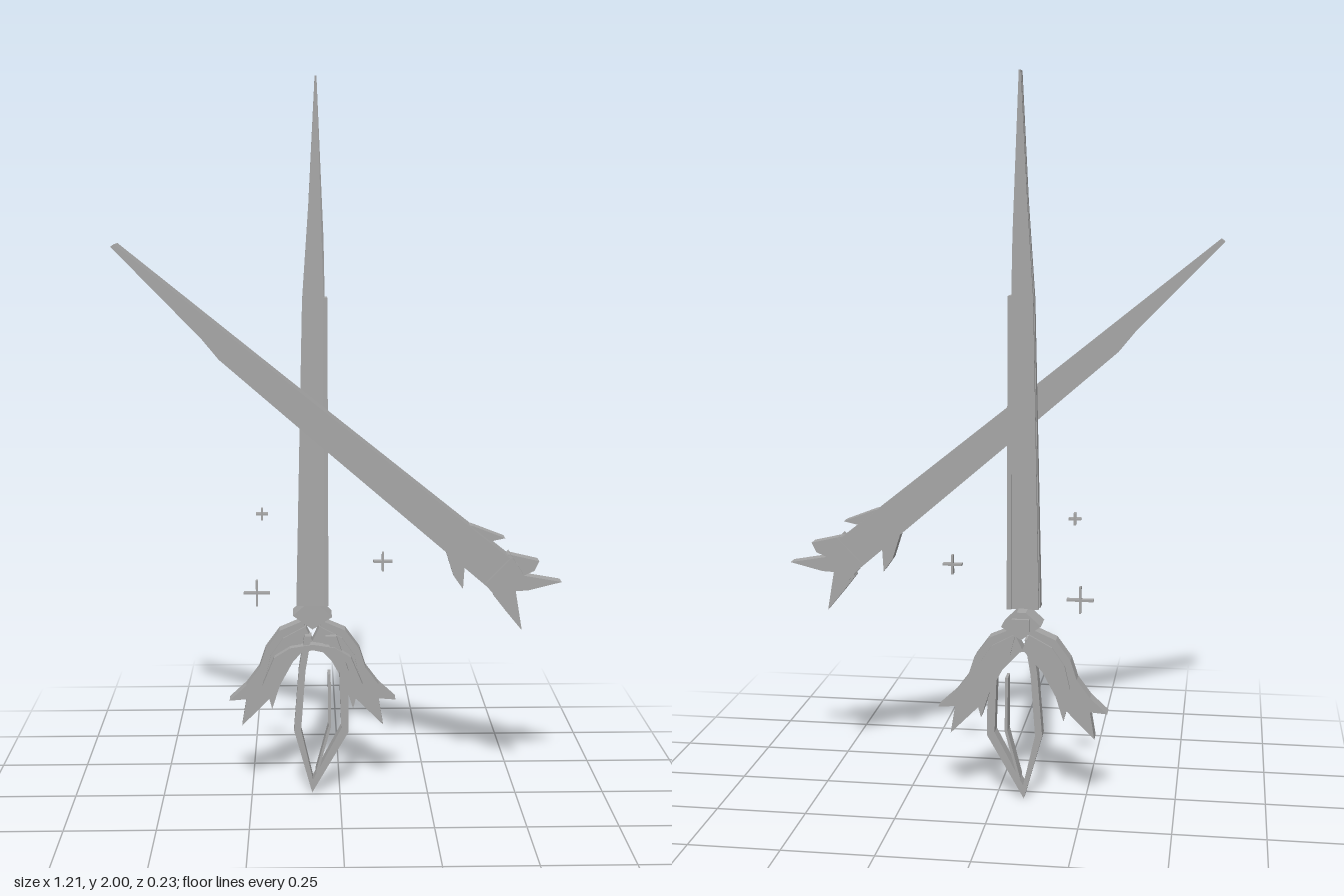
import * as THREE from 'three';

const grey = new THREE.MeshStandardMaterial({ color: 0xa6a6a6 });
grey.name = 'steelGrey';

// Flat outline (x, y pairs in hundredths) extruded from z0 to z1
function plate(name, pts, z0, z1) {
  const shape = new THREE.Shape(pts.map(([x, y]) => new THREE.Vector2(x / 100, y / 100)));
  const geo = new THREE.ExtrudeGeometry(shape, { depth: z1 - z0, bevelEnabled: false });
  geo.translate(0, 0, z0);
  const mesh = new THREE.Mesh(geo, grey);
  mesh.name = name;
  return mesh;
}

// Mirror an outline across the axis of the upright sword
const AXIS = -7.7;
const mirror = (pts) => pts.map(([x, y]) => [2 * AXIS - x, y]).reverse();

function uprightSword() {
  const g = new THREE.Group();
  g.name = 'uprightSword';

  // Front half of the blade, its face leaning back towards the tip
  const front = plate('bladeFront', [
    [-12.2, 55], [-3.4, 55], [-3.6, 113], [-4.4, 157], [-6.2, 200], [-6.7, 200], [-8.5, 166], [-10.3, 140],
  ], -0.045, -0.01);
  const p = front.geometry.attributes.position;
  for (let i = 0; i < p.count; i++) {
    if (p.getZ(i) > -0.03) {
      const t = THREE.MathUtils.clamp((p.getY(i) - 0.55) / 1.02, 0, 1);
      p.setZ(i, -0.008 - 0.019 * t);
    }
  }
  front.geometry.computeVertexNormals();
  g.add(front);

  // Back half, separated by a narrow slot
  g.add(plate('bladeBack', [
    [-12, 55], [-3.6, 55], [-3.8, 113], [-4.6, 157], [-6.2, 200], [-6.7, 200], [-8.5, 166], [-10.2, 140],
  ], -0.066, -0.054));
  g.add(plate('bladeCore', [[-10.5, 56], [-5, 56], [-5.5, 150], [-6.5, 185], [-9, 140]], -0.055, -0.044));
  g.add(plate('edgeRib', [[-4.6, 55], [-3.2, 55], [-3.4, 141], [-4.4, 141]], -0.071, -0.007));

  // Collar where the blade meets the guard
  g.add(plate('collar', [[-13.2, 51.5], [-7.7, 47.5], [-2.2, 51], [-6.5, 55.2], [-9, 55.2]], -0.11, -0.032));
  g.add(plate('collarCap', [[-10, 50], [-5.2, 50], [-5.2, 53.5], [-10, 53.5]], -0.121, -0.108));

  // Feathered wings of the guard
  const wing = [
    [-10.5, 49.8], [-17, 47], [-21, 41.5], [-22.8, 36], [-26.5, 31], [-31.3, 26.6], [-26.5, 27],
    [-27.8, 19.2], [-23.5, 23.5], [-20, 27], [-19.2, 24], [-17, 31], [-13.2, 38], [-7.7, 44],
  ];
  g.add(plate('rightWing', wing, -0.082, -0.037));
  g.add(plate('leftWing', mirror(wing), -0.082, -0.037));

  // Raised layer on each wing
  const feather = [[-9.5, 48.5], [-16, 45], [-19.5, 40], [-21, 33.5], [-16.5, 38.5], [-11, 42.5]];
  g.add(plate('rightFeather', feather, -0.09, -0.03));
  g.add(plate('leftFeather', mirror(feather), -0.09, -0.03));

  // Crescent band on the front of the guard
  const half = [[-7.7, 43.8], [-14, 42.8], [-18.5, 40], [-21.8, 32], [-20.5, 31.8], [-17.6, 38.2], [-13.5, 41], [-7.7, 42.2]];
  const other = mirror(half);
  g.add(plate('rightCrescent', half, -0.04, -0.006));
  g.add(plate('leftCrescent', other, -0.04, -0.006));

  // Open grip: bent strands meeting at the lower point
  g.add(plate('rightGripStrand', [
    [-10, 46], [-11.6, 36], [-13, 18.5], [-7.9, 0], [-7.6, 3.6], [-11, 18.5], [-9.7, 36], [-8, 46],
  ], -0.055, -0.012));
  g.add(plate('leftGripStrand', [
    [-4, 46], [-0.2, 36], [0.4, 19], [-7.9, 3.4], [-7.9, 0], [2.5, 18], [2.4, 36], [-1, 46],
  ], -0.055, -0.012));
  g.add(plate('innerGripStrand', [
    [-3.4, 35], [-2.6, 35], [-2.5, 19.5], [-6.2, 6], [-6.9, 6], [-3.3, 19.5],
  ], -0.058, -0.012));
  return g;
}

function crossedSword() {
  const g = new THREE.Group();
  g.name = 'crossedSword';
  g.add(plate('crossedBlade', [
    [-60.5, 155.3], [-59.5, 156], [-10, 116], [48.5, 69], [42.3, 61], [-10.6, 106.5], [-32.5, 125.5], [-37, 131],
  ], 0.022, 0.103));
  g.add(plate('crossedCollar', [[46.6, 71.5], [49.8, 66.5], [44, 58.6], [39.2, 64]], 0.018, 0.114));

  // Feather spikes around the hilt
  const spikes = [
    [[33, 80], [36, 79.5], [45, 76], [39, 74.7], [34, 76]],
    [[28, 75], [31, 75.5], [34, 68.5], [33.6, 61.8], [31, 65.5]],
    [[44, 70], [46, 71.5], [54.5, 69.5], [53.2, 66.8], [47, 64]],
    [[44, 66], [50, 65.5], [60.8, 63.6], [51.5, 61.3], [46, 61]],
    [[43, 62], [48, 62], [50, 50], [45.5, 55.5], [42, 60]],
  ];
  spikes.forEach((s, i) => g.add(plate('hiltSpike' + (i + 1), s, 0.037, 0.077)));
  return g;
}

function sparkles() {
  const g = new THREE.Group();
  g.name = 'sparkles';
  // x, y, arm length
  for (const [x, y, r] of [[-21.7, 80.5, 1.7], [-23.3, 57.8, 3.7], [12.2, 66.7, 2.7]]) {
    const w = 0.3;
    const pts = [];
    for (let k = 0; k < 4; k++) {
      const c = Math.round(Math.cos(k * Math.PI / 2)), s = Math.round(Math.sin(k * Math.PI / 2));
      for (const [a, b] of [[r, -w], [r, w], [w, w]]) pts.push([x + a * c - b * s, y + a * s + b * c]);
    }
    g.add(plate('sparkle', pts, -0.058, -0.04));
  }
  return g;
}

export function createModel() {
  const model = new THREE.Group();
  model.name = 'crossedSwords';
  model.add(uprightSword(), crossedSword(), sparkles());
  return model;
}
